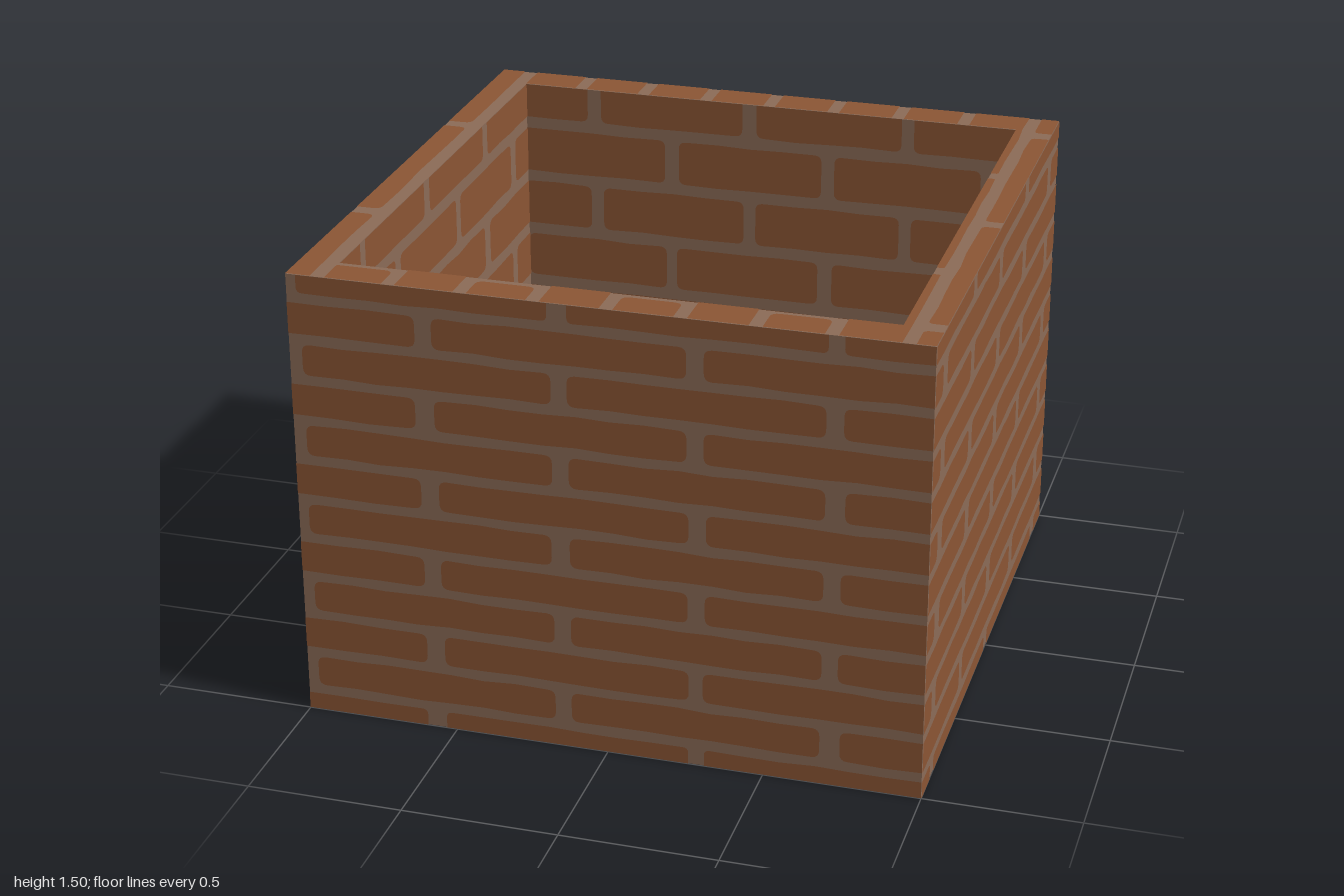
import * as THREE from 'three';
import { mergeGeometries } from 'three/addons/utils/BufferGeometryUtils.js';

const HALF = 1, INNER = 0.875, HEIGHT = 1.5, LIFT = 0.002;

// Small seeded random for slightly uneven brick edges
function makeRandom(seed) {
  return () => (seed = (seed * 16807) % 2147483647) / 2147483647;
}

// One worn brick face; corners cut off by the region stay square
function brickShape(u0, v0, u1, v1, region, random) {
  const a = Math.max(u0, region.u0), b = Math.min(u1, region.u1);
  const c = Math.max(v0, region.v0), d = Math.min(v1, region.v1);
  if (b - a < 0.008 || d - c < 0.008) return null;
  const r = Math.min(0.026, (b - a) / 3, (d - c) / 3);
  const left = a === u0 ? r : 0, right = b === u1 ? r : 0;
  const low = c === v0 ? r : 0, high = d === v1 ? r : 0;
  const wear = (free) => (free ? (random() - 0.5) * 0.007 : 0);
  const steps = Math.max(1, Math.round((b - a) / 0.12));
  const s = new THREE.Shape();
  const edge = (from, to, v, free) => {
    for (let i = 1; i < steps; i++) {
      s.lineTo(from + ((to - from) * i) / steps, v + wear(free));
    }
    s.lineTo(to, v);
  };
  const bl = Math.min(left, low), br = Math.min(right, low);
  const tr = Math.min(right, high), tl = Math.min(left, high);
  s.moveTo(a + bl, c);
  edge(a + bl, b - br, c, low);
  if (br) s.quadraticCurveTo(b, c, b, c + br);
  s.lineTo(b, d - tr);
  if (tr) s.quadraticCurveTo(b, d, b - tr, d);
  edge(b - tr, a + tl, d, high);
  if (tl) s.quadraticCurveTo(a, d, a, d - tl);
  s.lineTo(a, c + bl);
  if (bl) s.quadraticCurveTo(a, c, a + bl, c);
  return s;
}

// Running bond clipped to a rectangle; joint = position of a joint in row 0
function layBricks(region, bond, seed) {
  const random = makeRandom(seed);
  const shapes = [];
  const first = Math.floor((region.v0 - bond.centre) / bond.row) - 1;
  const last = Math.ceil((region.v1 - bond.centre) / bond.row) + 1;
  for (let j = first; j <= last; j++) {
    const v = bond.centre + j * bond.row;
    const h = (bond.row - bond.bedGap) / 2;
    const joint = bond.joint + (j % 2 ? bond.length / 2 : 0);
    const k0 = Math.floor((region.u0 - joint) / bond.length) - 1;
    const k1 = Math.ceil((region.u1 - joint) / bond.length);
    for (let k = k0; k <= k1; k++) {
      const u = joint + k * bond.length;
      const jitter = (random() - 0.5) * 0.012;
      const shape = brickShape(u + bond.endGap / 2 + jitter, v - h,
        u + bond.length - bond.endGap / 2 + jitter, v + h, region, random);
      if (shape) shapes.push(shape);
    }
  }
  return new THREE.ShapeGeometry(shapes, 4);
}

export function createModel() {
  const model = new THREE.Group();
  model.name = 'brickEnclosure';
  const mortar = new THREE.MeshStandardMaterial({ color: 0x8b6b57 });
  mortar.name = 'mortar';
  const brick = new THREE.MeshStandardMaterial({ color: 0x8b5534 });
  brick.name = 'brick';

  const add = (name, geometry, material) => {
    const mesh = new THREE.Mesh(geometry, material);
    mesh.name = name;
    model.add(mesh);
  };

  // Square wall ring, open at top and bottom
  const square = (path, s) =>
    path.setFromPoints([[-s, -s], [s, -s], [s, s], [-s, s]].map(([x, y]) => new THREE.Vector2(x, y))).closePath() ?? path;
  const outline = new THREE.Shape();
  square(outline, HALF);
  const opening = new THREE.Path();
  square(opening, INNER);
  outline.holes.push(opening);
  const ring = new THREE.ExtrudeGeometry(outline, { depth: HEIGHT, bevelEnabled: false });
  ring.rotateX(-Math.PI / 2);
  add('wallRing', ring, mortar);

  // Outer and inner brickwork, the bond running on around the corners
  const sides = ['front', 'right', 'back', 'left'];
  const outerBond = { row: 0.1353, length: 0.85, bedGap: 0.033, endGap: 0.055, centre: 0.14, joint: -0.14 };
  const innerBond = { row: 0.2, length: 0.56, bedGap: 0.042, endGap: 0.045, centre: 1.26, joint: -0.2 };
  sides.forEach((side, i) => {
    const outer = layBricks({ u0: -HALF, u1: HALF, v0: 0, v1: HEIGHT },
      { ...outerBond, joint: outerBond.joint - 2 * HALF * i }, 11 + i);
    outer.translate(0, 0, HALF + LIFT).rotateY((i * Math.PI) / 2);
    add(side + 'OuterBricks', outer, brick);

    const inner = layBricks({ u0: -INNER, u1: INNER, v0: 0, v1: HEIGHT },
      { ...innerBond, joint: innerBond.joint - 2 * INNER * i }, 31 + i);
    inner.translate(0, 0, -INNER + LIFT).rotateY((i * Math.PI) / 2 + Math.PI);
    add(side + 'InnerBricks', inner, brick);
  });

  // Rim brickwork: rows run front to back across all four strips
  const rimBond = { row: 0.2275, length: 0.85, bedGap: 0.042, endGap: 0.05, centre: -0.786, joint: 0.02 };
  const strips = [
    { u0: -HALF, u1: HALF, v0: -HALF, v1: -INNER },
    { u0: -HALF, u1: HALF, v0: INNER, v1: HALF },
    { u0: -HALF, u1: -INNER, v0: -INNER, v1: INNER },
    { u0: INNER, u1: HALF, v0: -INNER, v1: INNER },
  ];
  for (const [name, dir, y] of [['topRimBricks', 1, HEIGHT + LIFT], ['bottomRimBricks', -1, -LIFT]]) {
    const rim = mergeGeometries(strips.map((s, i) => layBricks(s, rimBond, 51 + i)));
    rim.applyMatrix4(new THREE.Matrix4().makeBasis(
      new THREE.Vector3(0, 0, 1), new THREE.Vector3(dir, 0, 0), new THREE.Vector3(0, dir, 0)));
    rim.translate(0, y, 0);
    add(name, rim, brick);
  }
  return model;
}
